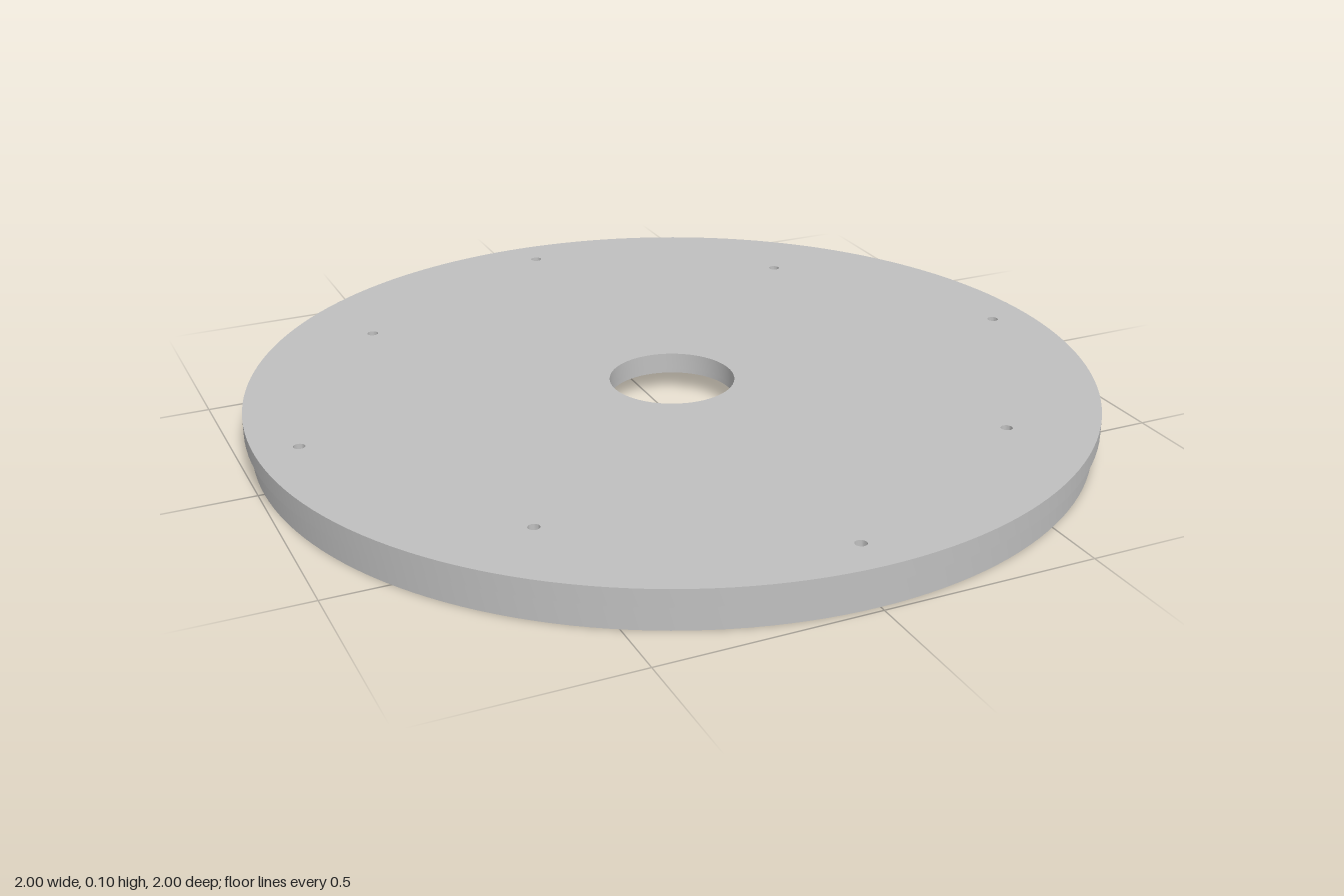
import * as THREE from 'three';
import { toCreasedNormals } from 'three/addons/utils/BufferGeometryUtils.js';

// Polygon points of a circle
function circle(r, sides, x = 0, y = 0) {
  return Array.from({ length: sides }, (_, i) => {
    const a = (i / sides) * Math.PI * 2;
    return new THREE.Vector2(x + r * Math.cos(a), y + r * Math.sin(a));
  });
}

// Four small bolt holes on a pitch circle
function boltHoles(pitch, startAngle) {
  return [0, 1, 2, 3].map((i) => {
    const a = startAngle + (i * Math.PI) / 2;
    return circle(0.0135, 20, pitch * Math.cos(a), pitch * Math.sin(a));
  });
}

// Ring of narrow radial pockets
function pockets(count, inner, outer, fill) {
  const half = (Math.PI / count) * fill;
  return Array.from({ length: count }, (_, i) => {
    const a = (i / count) * Math.PI * 2;
    return [[inner, -half], [outer, -half], [outer, half], [inner, half]].map(
      ([r, d]) => new THREE.Vector2(r * Math.cos(a + d), r * Math.sin(a + d))
    );
  });
}

export function createModel() {
  const model = new THREE.Group();
  model.name = 'slottedDisc';
  const metal = new THREE.MeshStandardMaterial({ color: 0xc0c0c0 });
  metal.name = 'grey metal';

  // Flat layer between two heights with any number of holes
  function layer(name, radius, y0, y1, holes) {
    const shape = new THREE.Shape(circle(radius, 160));
    shape.holes = holes.map((points) => new THREE.Path(points));
    let geometry = new THREE.ExtrudeGeometry(shape, { depth: y1 - y0, bevelEnabled: false });
    geometry.rotateX(-Math.PI / 2);
    geometry.translate(0, y0, 0);
    geometry = toCreasedNormals(geometry, 0.5);
    const mesh = new THREE.Mesh(geometry, metal);
    mesh.name = name;
    model.add(mesh);
  }

  const bore = circle(0.148, 64);
  const outerBolts = boltHoles(0.9, 0);
  const innerBolts = boltHoles(0.8, Math.PI / 4);

  // Top plate with overhanging rim, then the web that closes the recesses
  layer('topPlate', 1, 0.06, 0.1, [bore, ...outerBolts, ...innerBolts]);
  layer('web', 0.986, 0.05, 0.06, [bore, ...outerBolts, ...innerBolts]);

  // Underside rings, leaving a channel between them and a central recess
  layer('outerRing', 0.986, 0, 0.05, [circle(0.8137, 160), ...outerBolts]);
  layer('slottedRing', 0.597, 0, 0.05, [circle(0.43, 120), ...pockets(60, 0.436, 0.476, 0.55)]);

  return model;
}
